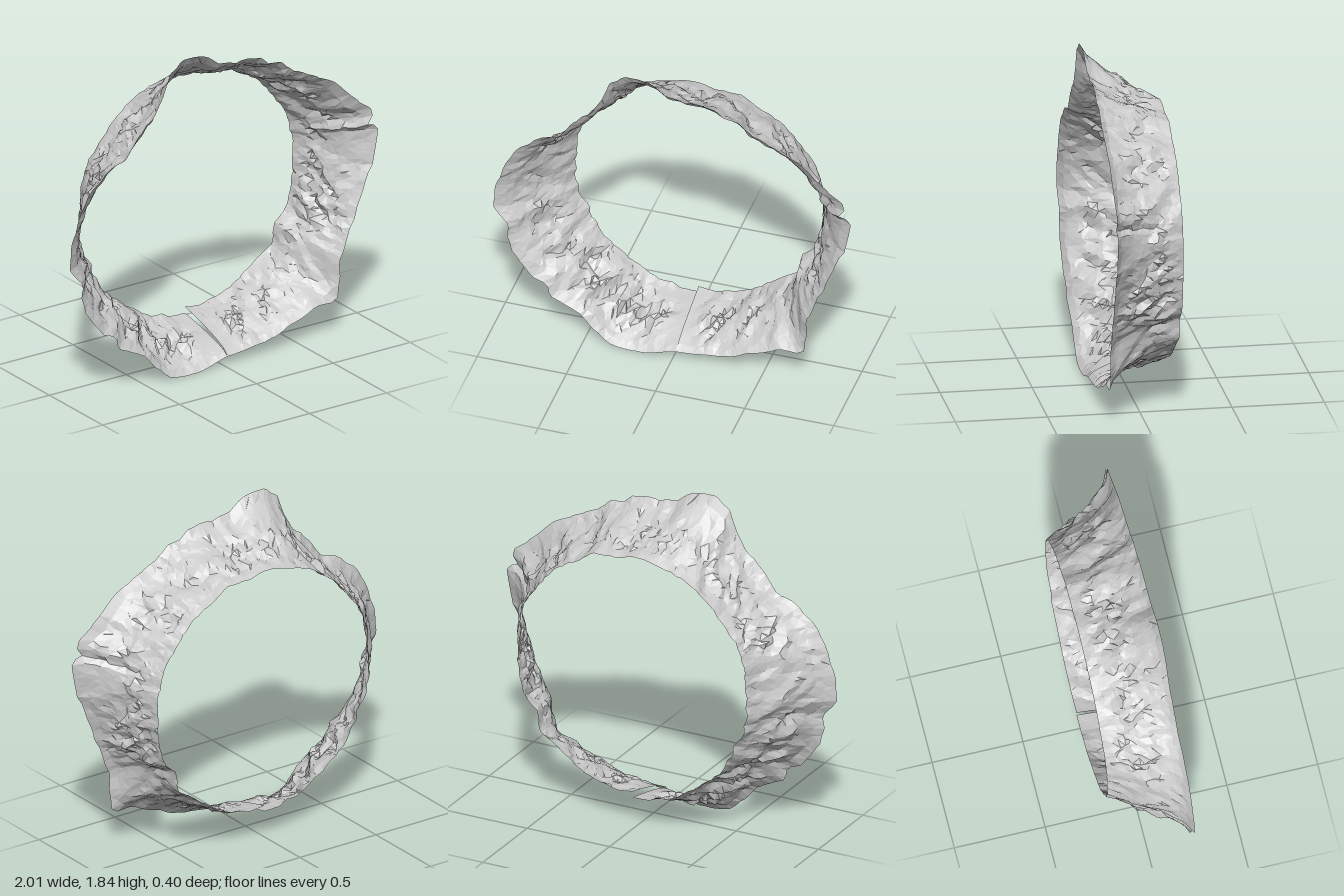
import * as THREE from 'three';

// Rim outlines (x, y pairs), clockwise from the seam at the bottom
const OUTER = [0.02,0.05, -0.06,0.03, -0.13,0.01, -0.25,0, -0.35,0.01, -0.39,0.04, -0.45,0.1, -0.52,0.18,
  -0.58,0.22, -0.69,0.26, -0.7,0.34, -0.79,0.37, -0.84,0.43, -0.88,0.48, -0.93,0.62, -0.92,0.69, -1,0.78,
  -1,0.92, -0.97,0.99, -0.95,1.09, -0.86,1.22, -0.71,1.33, -0.64,1.34, -0.58,1.43, -0.45,1.56, -0.4,1.65,
  -0.36,1.76, -0.28,1.83, -0.2,1.84, -0.12,1.82, -0.04,1.76, 0.08,1.74, 0.24,1.73, 0.29,1.69, 0.38,1.67,
  0.45,1.6, 0.62,1.52, 0.76,1.44, 0.84,1.35, 0.95,1.27, 0.96,1.22, 0.92,1.18, 1,1.16, 0.98,1, 0.92,0.85,
  0.86,0.7, 0.8,0.56, 0.75,0.43, 0.735,0.22, 0.71,0.2, 0.6,0.2, 0.42,0.13, 0.3,0.08, 0.15,0.06, 0.02,0.05];
const INNER = [0.02,0.165, -0.08,0.17, -0.13,0.2, -0.2,0.2, -0.33,0.28, -0.44,0.36, -0.52,0.43, -0.55,0.5,
  -0.59,0.53, -0.59,0.59, -0.64,0.66, -0.67,0.78, -0.66,0.95, -0.66,1.05, -0.63,1.15, -0.57,1.25, -0.5,1.33,
  -0.42,1.41, -0.31,1.49, -0.2,1.54, -0.08,1.57, 0,1.58, 0.1,1.55, 0.25,1.55, 0.35,1.48, 0.5,1.4,
  0.6,1.28, 0.67,1.17, 0.71,1.05, 0.72,0.85, 0.7,0.7, 0.67,0.6, 0.6,0.55, 0.58,0.43, 0.45,0.35,
  0.38,0.29, 0.25,0.22, 0.08,0.19, 0.02,0.2];
const CX = 0.02, CY = 0.88, TAU = Math.PI * 2;

// Turns an outline into a function giving the radius at an angle
function radiusByAngle(flat) {
  const pts = [];
  for (let i = 0; i < flat.length; i += 2) {
    const x = flat[i] - CX, y = flat[i + 1] - CY;
    let a = Math.atan2(-x, -y);
    if (a < 0) a += TAU;
    if (i === 0) a = 0;
    if (i === flat.length - 2) a = TAU;
    pts.push({ a, r: Math.hypot(x, y) });
  }
  pts.sort((p, q) => p.a - q.a);
  return (a) => {
    let k = 1;
    while (k < pts.length - 1 && pts[k].a < a) k++;
    const p = pts[k - 1], q = pts[k];
    return p.r + (q.r - p.r) * THREE.MathUtils.clamp((a - p.a) / (q.a - p.a || 1), 0, 1);
  };
}

// Repeatable value noise in two directions, from -1 to 1
function hash(i, j) {
  const s = Math.sin(i * 127.1 + j * 311.7) * 43758.5453;
  return (s - Math.floor(s)) * 2 - 1;
}
function noise(u, v) {
  const i = Math.floor(u), j = Math.floor(v);
  const f = u - i, g = v - j;
  const s = f * f * (3 - 2 * f), t = g * g * (3 - 2 * g);
  const lerp = THREE.MathUtils.lerp;
  return lerp(lerp(hash(i, j), hash(i + 1, j), s), lerp(hash(i, j + 1), hash(i + 1, j + 1), s), t);
}

// Rocky wall lofted from the wide front rim to the narrow back rim
function rockWall() {
  const outer = radiusByAngle(OUTER), inner = radiusByAngle(INNER);
  const cols = 200, rows = 14;
  const positions = [], index = [];
  for (let i = 0; i <= cols; i++) {
    for (let j = 0; j <= rows; j++) {
      const free = j > 0 && j < rows;
      const endCol = i === 0 || i === cols;
      const a = (i + (endCol ? 0 : hash(i, j) * 0.35)) / cols * TAU;
      const t = (j + (free && !endCol ? hash(j + 50, i) * 0.35 : 0)) / rows;
      // the rock calms down beside the seam, so its two ends meet at the front
      const calm = Math.min(1, 5 * Math.min(a, TAU - a));
      // concave flare, varying slightly around the ring
      const flare = Math.pow(t, 0.62 + 0.1 * calm * noise(a * 3, 7));
      let r = THREE.MathUtils.lerp(outer(a), inner(a), flare);
      // broad facets, slanted ledges and chips, strongest on the lower left
      const fade = calm * Math.sin(Math.PI * t);
      const rough = 1 + 0.6 * Math.exp(-(((a - 0.85) / 0.5) ** 2));
      const u = a * 5 + t * 1.6;
      const ledge = 0.6 - 2 * Math.abs(noise(u * 2, t * 2.5 + 20));
      r += rough * fade * (0.016 * noise(u, t * 2) + 0.02 * ledge);
      r += calm * (0.007 + 0.006 * fade) * noise(a * 20, t * 8);
      const z = 0.2 - 0.4 * t + fade * 0.014 * noise(a * 14, t * 5 + 40);
      positions.push(CX - Math.sin(a) * r, Math.max(0, CY - Math.cos(a) * r), THREE.MathUtils.clamp(z, -0.2, 0.2));
      if (i < cols && j < rows) {
        const p = i * (rows + 1) + j, q = p + rows + 1;
        if ((i + j) % 2) index.push(p, q, p + 1, q, q + 1, p + 1);
        else index.push(p, q, q + 1, p, q + 1, p + 1);
      }
    }
  }
  const geometry = new THREE.BufferGeometry();
  geometry.setAttribute('position', new THREE.Float32BufferAttribute(positions, 3));
  geometry.setIndex(index);
  geometry.computeVertexNormals();
  return geometry;
}

export function createModel() {
  const group = new THREE.Group();
  group.name = 'rockRing';
  const stone = new THREE.MeshStandardMaterial({ color: 0xcccccc, flatShading: true, side: THREE.DoubleSide });
  const wall = new THREE.Mesh(rockWall(), stone);
  wall.name = 'rockWall';
  group.add(wall);
  return group;
}
